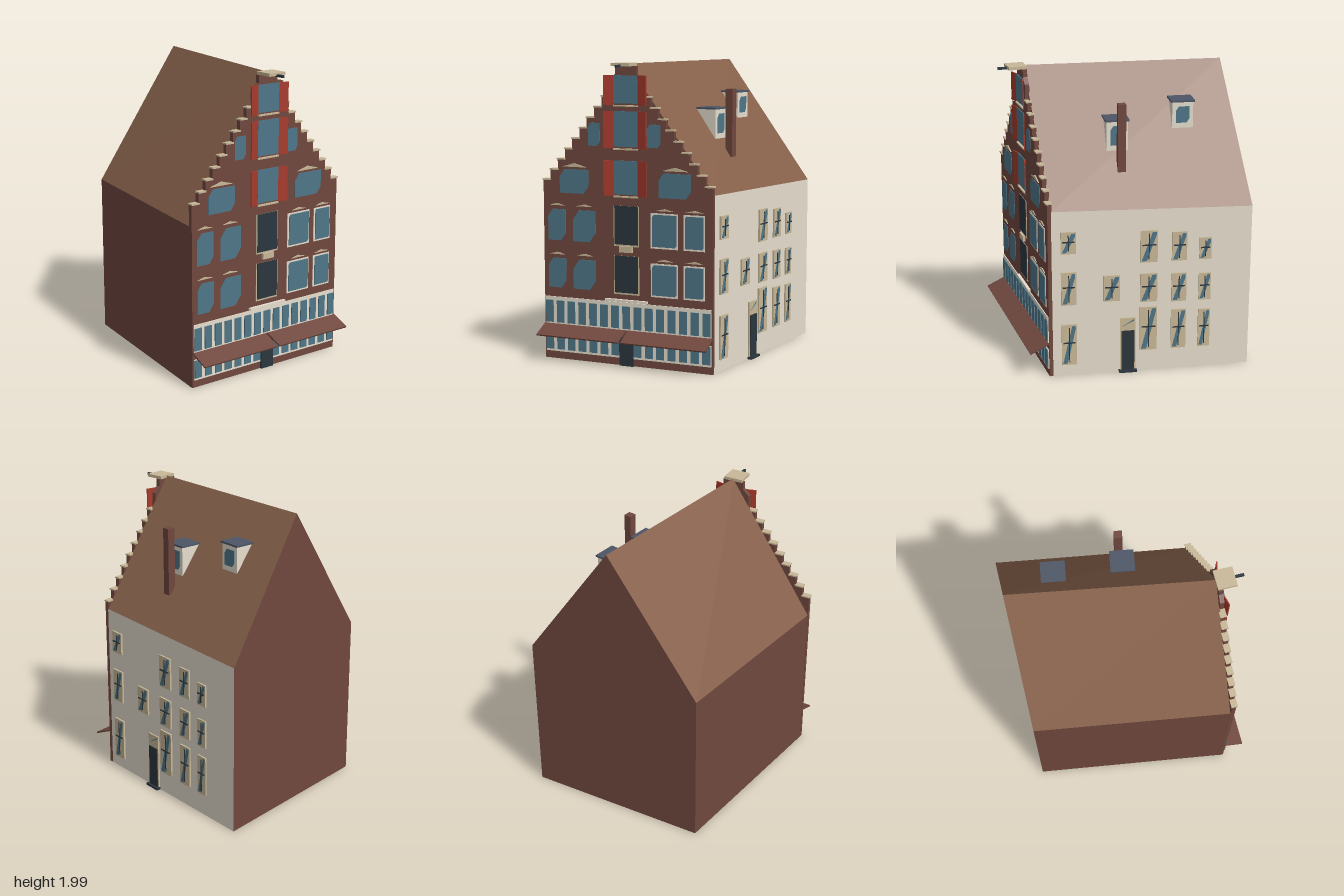
import * as THREE from 'three';

const mat = (color) => new THREE.MeshStandardMaterial({ color, flatShading: true, side: THREE.DoubleSide });
const M = {
  brick: mat(0x70483e), roof: mat(0x86604a), cream: mat(0xe6dece), stone: mat(0xc8b898),
  glass: mat(0x4f7688), red: mat(0xa83a2c), dark: mat(0x2c363e), slate: mat(0x4d5666),
};

function add(parent, name, geo, material, x = 0, y = 0, z = 0) {
  const m = new THREE.Mesh(geo, material);
  m.name = name;
  m.position.set(x, y, z);
  parent.add(m);
  return m;
}

// Box from min/max extents
function box(parent, name, material, x0, x1, y0, y1, z0, z1) {
  const g = new THREE.BoxGeometry(x1 - x0, y1 - y0, z1 - z0);
  return add(parent, name, g, material, (x0 + x1) / 2, (y0 + y1) / 2, (z0 + z1) / 2);
}

// Flat outline pushed out along z
function plate(parent, name, material, pts, z, depth) {
  const s = new THREE.Shape(pts.map((p) => new THREE.Vector2(p[0], p[1])));
  return add(parent, name, new THREE.ExtrudeGeometry(s, { depth, bevelEnabled: false }), material, 0, 0, z);
}

// Flat polygons, each a fan of corners in counter-clockwise order
function polys(parent, name, material, faces) {
  const pos = [];
  for (const f of faces)
    for (let i = 1; i < f.length - 1; i++) pos.push(...f[0], ...f[i], ...f[i + 1]);
  const g = new THREE.BufferGeometry();
  g.setAttribute('position', new THREE.Float32BufferAttribute(pos, 3));
  g.computeVertexNormals();
  return add(parent, name, g, material);
}

// Pane with its top-left and bottom-right corners cut by c
function pane(parent, x0, x1, y0, y1, c, z = 0.004) {
  plate(parent, 'windowPane', M.glass, [[x0, y0], [x1 - c, y0], [x1, y0 + c * 1.4], [x1, y1],
    [x0 + c, y1], [x0, y1 - c * 1.4]], z, 0.004);
}

function wallFrame(parent, name, x, z, angle) {
  const g = new THREE.Group();
  g.name = name;
  g.position.set(x, 0, z);
  g.rotation.y = angle;
  parent.add(g);
  return g;
}

// House shell: skewed plan, gabled roof with unequal eaves
function buildShell(root) {
  const a = [0.08, 0.915], b = [0.76, -0.085], c = [-0.2, -1], d = [-0.9, 0.02];
  const at = (p, y) => [p[0], y, p[1]];
  const A = at(a, 0), B = at(b, 0), C = at(c, 0), D = at(d, 0);
  const A1 = at(a, 1.07), B1 = at(b, 1.16), C1 = at(c, 1.13), D1 = at(d, 1.09);
  const R0 = [0.42, 1.985, 0.415], R1 = [-0.54, 1.985, -0.5];
  polys(root, 'brickWalls', M.brick, [[A, B, B1, R0, A1], [C, D, D1, R1, C1], [D, A, A1, D1], [A, D, C, B]]);
  polys(root, 'sideWall', M.cream, [[B, C, C1, B1]]);
  polys(root, 'roof', M.roof, [[B1, C1, R1, R0], [D1, A1, R0, R1]]);
}

function buildFacade(root) {
  const W = 1.21, mid = W / 2, H = mid;
  const f = wallFrame(root, 'facade', 0.1, 0.93, 0.974);

  // Stepped gable with a narrow neck
  const right = [[H, 0]];
  const dw = 0.054, dh = 0.07;
  for (let i = 0; i < 9; i++) {
    const w = H - i * dw, y = 1.21 + i * dh;
    right.push([w, y], [w - dw, y]);
    for (const s of [-1, 1]) {
      const cx = mid + s * (w - dw / 2);
      box(f, 'stepCoping', M.stone, cx - 0.03, cx + 0.03, y, y + 0.01, -0.035, 0.008);
    }
  }
  right.push([0.119, 1.88], [0.075, 1.92], [0.075, 1.97]);
  const left = right.map(([x, y]) => [-x, y]).reverse();
  plate(f, 'steppedGable', M.brick, [...right, ...left].map(([x, y]) => [x + mid, y]), -0.03, 0.03);
  box(f, 'gableCap', M.stone, mid - 0.065, mid + 0.065, 1.97, 1.99, -0.035, 0.09);
  box(f, 'hoistBeam', M.dark, mid - 0.008, mid + 0.008, 1.965, 1.98, 0, 0.15);

  // Loft openings with red shutters
  for (const [y0, y1] of [[1.13, 1.36], [1.44, 1.68], [1.72, 1.91]]) {
    box(f, 'loftWindow', M.glass, mid - 0.085, mid + 0.085, y0 + 0.01, y1, 0, 0.008);
    for (const s of [-1, 1]) {
      const sh = box(f, 'shutter', M.red, mid + s * 0.118 - 0.034, mid + s * 0.118 + 0.034, y0, y1, 0.008, 0.016);
      sh.rotation.y = -s * 0.25;
    }
    box(f, 'loftSill', M.stone, mid - 0.085, mid + 0.085, y0 - 0.01, y0, 0, 0.015);
  }
  pane(f, 0.335, 0.42, 1.45, 1.6, 0.02);
  pane(f, 0.755, 0.85, 1.45, 1.6, 0.02);

  // Main windows: [x0, x1, corner cut]
  const cols = [[0.035, 0.165, 0.035], [0.22, 0.385, 0.045], [0.79, 0.96, 0.012], [1.02, 1.145, 0.008]];
  for (const [y0, y1] of [[0.49, 0.69], [0.81, 1.02]]) {
    cols.forEach(([x0, x1, cut], i) => {
      if (i > 1) box(f, 'windowFrame', M.cream, x0 - 0.012, x1 + 0.008, y0 - 0.012, y1 + 0.01, 0, 0.003);
      pane(f, x0, x1, y0, y1, cut);
      const cx = (x0 + x1) / 2;
      plate(f, 'windowArch', M.stone, [[cx - 0.06, y1 + 0.025], [cx + 0.06, y1 + 0.025], [cx, y1 + 0.04]], 0, 0.006);
    });
    box(f, 'hoistDoorFrame', M.stone, mid - 0.09, mid + 0.09, y0 - 0.012, y1 + 0.045, 0, 0.004);
    box(f, 'hoistDoor', M.dark, mid - 0.083, mid + 0.083, y0, y1 + 0.045, 0.002, 0.008);
  }
  for (const [x0, x1] of [[0.125, 0.335], [0.835, 1.06]]) {
    pane(f, x0, x1, 1.13, 1.29, 0.035);
    const cx = (x0 + x1) / 2;
    plate(f, 'windowArch', M.stone, [[cx - 0.09, 1.305], [cx + 0.09, 1.305], [cx, 1.33]], 0, 0.008);
  }
  box(f, 'plaque', M.stone, mid - 0.045, mid + 0.045, 0.76, 0.8, 0, 0.02);

  // Shop front: two glazed bands, cornice, awnings and door
  box(f, 'upperBand', M.cream, 0.01, W - 0.01, 0.24, 0.425, 0, 0.006);
  box(f, 'lowerBand', M.cream, 0.01, W - 0.01, 0.05, 0.19, 0, 0.006);
  box(f, 'cornice', M.cream, mid - 0.15, mid + 0.15, 0.43, 0.445, 0, 0.02);
  const n = 15, pitch = W / n;
  for (let i = 0; i < n; i++) {
    const x = i * pitch;
    box(f, 'upperShopPane', M.glass, x + 0.012, x + pitch - 0.014, 0.25, 0.4, 0.004, 0.012);
    if (i !== 7) box(f, 'lowerShopPane', M.glass, x + 0.012, x + pitch - 0.014, 0.065, 0.185, 0.004, 0.012);
  }
  box(f, 'shopDoor', M.dark, mid - 0.05, mid + 0.05, 0, 0.19, 0, 0.016);
  for (const [x0, x1] of [[0, mid - 0.008], [mid + 0.008, W]]) {
    const awning = box(f, 'awning', M.brick, x0, x1, 0.205, 0.215, -0.008, 0.137);
    awning.rotation.x = 0.4;
  }
}

function buildSide(root) {
  const s = wallFrame(root, 'sideDetails', 0.768, -0.082, 2.382);
  const toX = (z) => (-0.075 - z) / 0.688;

  // Side windows: [z of centre, width, [bottom, top] of each]
  const cols = [
    [-0.155, 0.1, [[0.87, 1.02], [0.51, 0.74], [0.08, 0.37]]],
    [-0.35, 0.11, [[0.52, 0.7]]],
    [-0.52, 0.115, [[0.78, 1.0], [0.5, 0.7], [0.15, 0.46]]],
    [-0.66, 0.1, [[0.78, 0.98], [0.49, 0.69], [0.15, 0.43]]],
    [-0.78, 0.08, [[0.78, 0.93], [0.49, 0.68], [0.15, 0.42]]],
  ];
  for (const [z, w, spans] of cols) {
    const cx = toX(z), h = w / 2;
    for (const [y0, y1] of spans) {
      const cy = y0 + (y1 - y0) * 0.55;
      box(s, 'sideWindowFrame', M.stone, cx - h, cx + h, y0, y1, -0.01, 0.01);
      plate(s, 'sideWindowGlass', M.glass, [[cx - h * 0.85, y0 + 0.01], [cx - h * 0.25, y0 + 0.01],
        [cx + h * 0.85, y1 - 0.03], [cx + h * 0.85, y1 - 0.01], [cx + h * 0.4, y1 - 0.01]], 0.009, 0.003);
      box(s, 'sideWindowBar', M.dark, cx - h * 0.8, cx + h * 0.8, cy - 0.004, cy + 0.004, 0.01, 0.015);
      box(s, 'sideWindowMullion', M.dark, cx - 0.003, cx + 0.003, y0 + 0.02, y1 - 0.02, 0.01, 0.014);
    }
  }

  // Side door with fanlight and step
  const dx = toX(-0.425);
  box(s, 'sideDoorFrame', M.stone, dx - 0.052, dx + 0.052, 0, 0.39, -0.01, 0.008);
  box(s, 'sideDoor', M.dark, dx - 0.043, dx + 0.043, 0, 0.3, 0, 0.014);
  plate(s, 'fanlight', M.glass, [[dx - 0.04, 0.33], [dx + 0.04, 0.37], [dx + 0.04, 0.38]], 0.008, 0.003);
  box(s, 'doorStep', M.dark, dx - 0.06, dx + 0.06, 0, 0.015, 0, 0.03);

  // Dormers: [x, front z, bottom, top]
  for (const [x, z, y0, y1] of [[0.475, -0.231, 1.48, 1.675], [0.925, -0.314, 1.59, 1.765]]) {
    const w = 0.07;
    polys(s, 'dormer', M.cream, [
      [[x - w, y0, z], [x + w, y0, z], [x + w, y1, z], [x - w, y1, z]],
      [[x + w, y0, z], [x + w, y1, z - 0.16], [x + w, y1, z]],
      [[x - w, y0, z], [x - w, y1, z], [x - w, y1, z - 0.16]],
    ]);
    pane(s, x - 0.045, x + 0.045, y0 + 0.035, y1 - 0.03, 0.02, z);
    box(s, 'dormerRoof', M.slate, x - 0.08, x + 0.08, y1, y1 + 0.012, z - 0.14, z + 0.01);
  }
  box(s, 'chimney', M.brick, 0.465, 0.518, 1.36, 1.81, -0.19, -0.138);
}

export function createModel() {
  const root = new THREE.Group();
  root.name = 'gabledHouse';
  buildShell(root);
  buildFacade(root);
  buildSide(root);
  return root;
}
